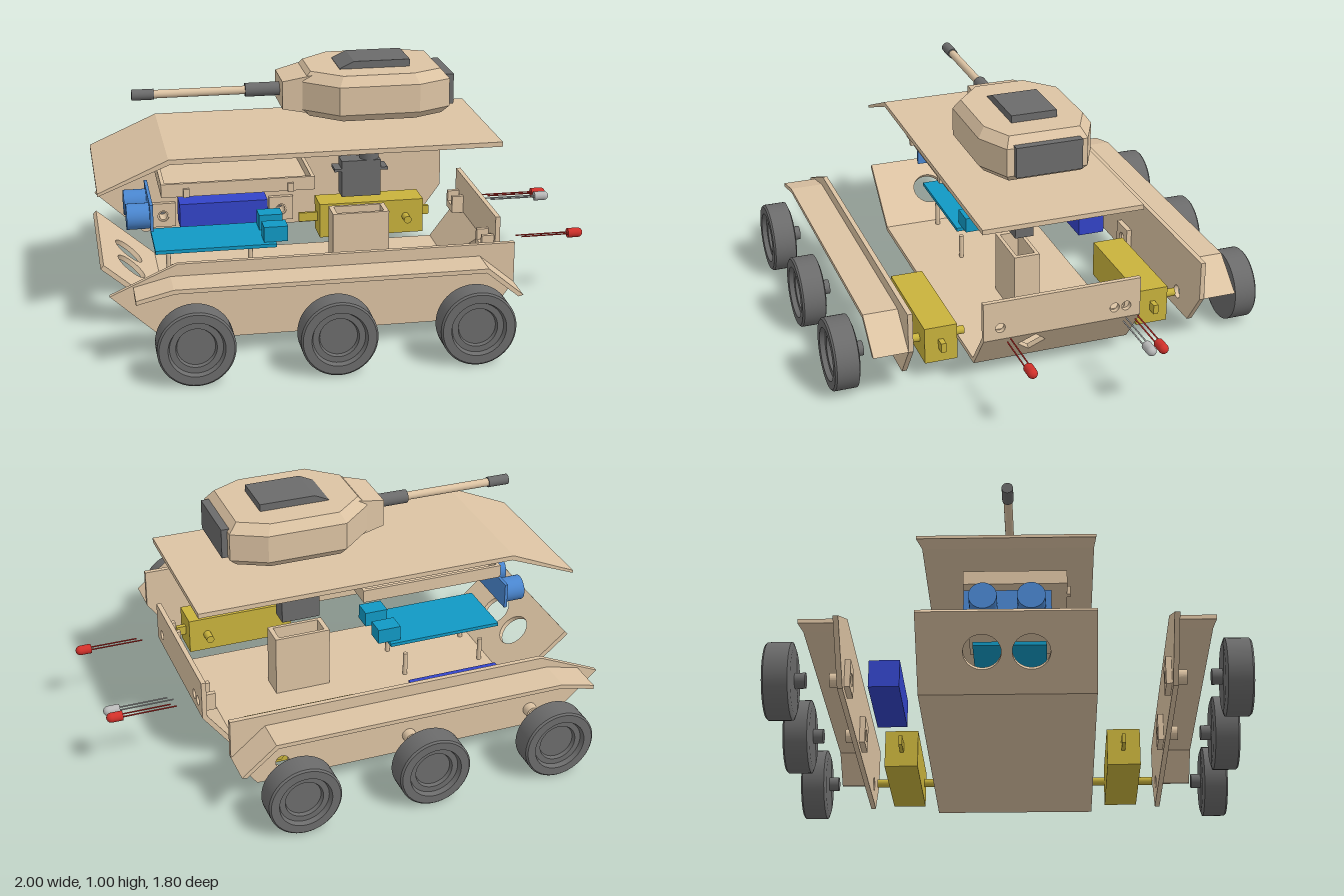
import * as THREE from 'three';
import { ConvexGeometry } from 'three/addons/geometries/ConvexGeometry.js';

const mat = (color) => new THREE.MeshStandardMaterial({ color });
const TAN = mat(0xdcc3a3), DARK = mat(0x6b6b6b), YELLOW = mat(0xc8b23c), BLUE = mat(0x3344c8);
const SENSOR = mat(0x4a86cf), CYAN = mat(0x1199c4), RED = mat(0xd0302a), SILVER = mat(0xb8b8b8);

export function createModel() {
  const root = new THREE.Group();
  root.name = 'explodedArmouredVehicle';

  const add = (name, geo, m) => {
    const mesh = new THREE.Mesh(geo, m);
    mesh.name = name;
    root.add(mesh);
    return mesh;
  };
  // Box given by its min and max on each axis
  const box = (name, m, x0, x1, y0, y1, z0, z1) =>
    add(name, new THREE.BoxGeometry(x1 - x0, y1 - y0, z1 - z0)
      .translate((x0 + x1) / 2, (y0 + y1) / 2, (z0 + z1) / 2), m);
  const rodX = (name, m, x0, x1, y, z, r, seg = 24) =>
    add(name, new THREE.CylinderGeometry(r, r, x1 - x0, seg).rotateZ(Math.PI / 2).translate((x0 + x1) / 2, y, z), m);
  const rodZ = (name, m, z0, z1, x, y, r, seg = 24) =>
    add(name, new THREE.CylinderGeometry(r, r, Math.abs(z1 - z0), seg).rotateX(Math.PI / 2).translate(x, y, (z0 + z1) / 2), m);
  const shapeOf = (pts) => new THREE.Shape(pts.map(([a, b]) => new THREE.Vector2(a, b)));
  const circle = (x, y, r) => new THREE.Path().absarc(x, y, r, 0, Math.PI * 2, true);
  const extrude = (shape, depth) =>
    new THREE.ExtrudeGeometry(shape, { depth, bevelEnabled: false, curveSegments: 16 });
  // Side profile in x/y, extruded from z0 to z1
  const profile = (name, m, pts, z0, z1, holes = []) => {
    const s = shapeOf(pts);
    s.holes.push(...holes);
    return add(name, extrude(s, z1 - z0).translate(0, 0, z0), m);
  };
  // Hull panel between two x/y points, full hull width; holes in (z, distance along panel)
  const panel = (name, a, b, holes = []) => {
    const len = Math.hypot(b[0] - a[0], b[1] - a[1]);
    const d = new THREE.Vector3((b[0] - a[0]) / len, (b[1] - a[1]) / len, 0);
    const s = shapeOf([[-0.33, 0], [0.33, 0], [0.33, len], [-0.33, len]]);
    s.holes.push(...holes);
    const frame = new THREE.Matrix4()
      .makeBasis(new THREE.Vector3(0, 0, 1), d, new THREE.Vector3(-d.y, d.x, 0))
      .setPosition(a[0], a[1], 0);
    add(name, extrude(s, 0.02).applyMatrix4(frame), TAN);
  };

  // Hull tub
  const lights = [[0.26, RED], [-0.22, SILVER], [-0.27, RED]];
  panel('hullFloor', [-0.75, 0.055], [0.5, 0.055]);
  panel('hullFrontPanel', [-1, 0.27], [-0.75, 0.055], [circle(0.09, 0.16, 0.07), circle(-0.09, 0.16, 0.07)]);
  panel('hullRearUpperPanel', [0.625, 0.22], [0.625, 0.385], lights.map(([z]) => circle(z, 0.05, 0.02)));
  const diamond = new THREE.Path([[0.055, 0.125], [0.11, 0.195], [0.17, 0.125], [0.11, 0.055]]
    .map(([a, b]) => new THREE.Vector2(a, b)));
  panel('hullRearLowerPanel', [0.5, 0.055], [0.625, 0.22], [diamond]);
  for (const z of [0.26, -0.24]) {
    box('lightHolder', TAN, 0.555, 0.605, 0.225, 0.255, z - 0.05, z + 0.05);
    for (const k of [-0.04, 0.04]) box('lightHolderCheek', TAN, 0.555, 0.605, 0.255, 0.3, z + k - 0.01, z + k + 0.01);
  }

  // Servo holder, open at the top
  box('servoHolderFront', TAN, -0.02, 0.22, 0.07, 0.34, 0.04, 0.055);
  box('servoHolderBack', TAN, -0.02, 0.22, 0.07, 0.34, -0.055, -0.04);
  box('servoHolderEnd', TAN, -0.02, 0.0, 0.07, 0.34, -0.04, 0.04);
  box('servoHolderEnd', TAN, 0.2, 0.22, 0.07, 0.34, -0.04, 0.04);

  // Servo
  box('servoBody', DARK, 0.02, 0.185, 0.41, 0.565, -0.04, 0.04);
  box('servoFlange', DARK, -0.01, 0.215, 0.52, 0.532, -0.04, 0.04);
  add('servoGearCap', new THREE.CylinderGeometry(0.04, 0.04, 0.032, 24).translate(0.142, 0.58, 0), DARK);
  add('servoShaft', new THREE.CylinderGeometry(0.012, 0.012, 0.03, 12).translate(0.142, 0.608, 0), DARK);

  // Control board on posts
  box('controlBoard', CYAN, -0.77, -0.27, 0.245, 0.26, -0.13, 0.145);
  box('boardSocket', CYAN, -0.32, -0.22, 0.26, 0.325, 0.04, 0.12);
  box('boardSocket', CYAN, -0.32, -0.22, 0.26, 0.325, -0.11, -0.03);
  for (const x of [-0.7, -0.35]) for (const z of [-0.1, 0.1])
    add('boardPost', new THREE.CylinderGeometry(0.01, 0.01, 0.11, 12).translate(x, 0.125, z), TAN);

  // Distance sensor
  box('sensorPlate', SENSOR, -0.788, -0.775, 0.355, 0.465, -0.165, 0.165);
  for (const z of [-0.09, 0.09]) rodX('sensorEye', SENSOR, -0.88, -0.788, 0.397, z, 0.053, 32);

  // Equipment tray
  box('trayBase', TAN, -0.745, -0.14, 0.515, 0.53, -0.17, 0.225);
  box('trayWall', TAN, -0.745, -0.14, 0.53, 0.57, 0.21, 0.225);
  box('trayWall', TAN, -0.745, -0.14, 0.53, 0.57, -0.17, -0.155);
  box('trayEnd', TAN, -0.745, -0.73, 0.53, 0.57, -0.155, 0.21);
  box('trayEnd', TAN, -0.14, -0.125, 0.515, 0.57, -0.17, 0.225);
  for (const x of [-0.645, -0.225]) box('trayTab', TAN, x - 0.012, x + 0.012, 0.515, 0.55, 0.225, 0.238);

  // Battery
  box('battery', BLUE, -0.62, -0.23, 0.15, 0.26, -0.53, -0.412);

  // Roof plate with sloped nose
  profile('roofPlate', TAN, [[-1, 0.57], [-0.715, 0.685], [0.625, 0.685], [0.625, 0.705], [-0.72, 0.705], [-1, 0.582]], -0.33, 0.33);

  // Running gear: both sides mirrored
  const axles = [-0.68, -0.145, 0.39];
  const wheelProfile = [[0, 0], [0.125, 0], [0.147, 0.008], [0.147, 0.008], [0.147, 0.098], [0.147, 0.098], [0.14, 0.105],
    [0.14, 0.105], [0.107, 0.105], [0.107, 0.105], [0.1, 0.085], [0.1, 0.085], [0.077, 0.085], [0.077, 0.085], [0.072, 0.07], [0.072, 0.07], [0, 0.07]]
    .map(([r, h]) => new THREE.Vector2(r, h));
  for (const s of [1, -1]) {
    const span = (a, b) => (s > 0 ? [a, b] : [-b, -a]);
    profile('sidePlate', TAN,
      [[-0.98, 0.27], [-0.77, 0.075], [0.495, 0.075], [0.6, 0.22], [0.6, 0.385], [-0.72, 0.385]],
      ...span(0.605, 0.625), axles.map((x) => circle(x, 0.15, 0.028)));
    profile('fender', TAN,
      [[-0.89, 0.285], [-0.745, 0.32], [0.452, 0.32], [0.58, 0.215], [0.6, 0.22], [0.46, 0.337], [-0.748, 0.337], [-0.89, 0.302]],
      ...span(0.625, 0.765));
    for (const x of axles) {
      const wheel = add('wheel', new THREE.LatheGeometry(wheelProfile, 48).rotateX(s * Math.PI / 2), DARK);
      wheel.position.set(x, 0.148, s * 0.795);
      rodZ('wheelAxle', DARK, s * 0.755, s * 0.8, x, 0.15, 0.03);
    }
    for (const x of axles.slice(0, 2)) {
      // Bracket inside the plate and bearing sleeve outside
      profile('axleBracket', TAN, [[x - 0.055, 0.1], [x + 0.055, 0.1], [x + 0.055, 0.21], [x - 0.055, 0.21]],
        ...span(0.583, 0.605), [circle(x, 0.15, 0.025)]);
      const ring = new THREE.Shape().absarc(x, 0.15, 0.028, 0, Math.PI * 2);
      ring.holes.push(circle(x, 0.15, 0.018));
      add('bearingSleeve', extrude(ring, 0.075).translate(0, 0, s > 0 ? 0.59 : -0.665), TAN);
    }
    // Gear motor
    box('motorBody', YELLOW, 0, 0.47, 0.075, 0.23, ...span(0.387, 0.522));
    box('motorTail', YELLOW, -0.085, 0, 0.135, 0.175, ...span(0.445, 0.46));
    box('motorTab', YELLOW, 0.47, 0.51, 0.135, 0.175, ...span(0.445, 0.466));
    rodZ('motorShaft', YELLOW, s * 0.335, s * 0.59, 0.39, 0.152, 0.017, 16);
  }

  // Rear lights with wire legs
  for (const [z, m] of lights) {
    rodX('lightBulb', m, 0.935, 0.98, 0.27, z, 0.02);
    add('lightDome', new THREE.SphereGeometry(0.02, 24, 8, 0, Math.PI * 2, 0, Math.PI / 2)
      .rotateZ(-Math.PI / 2).translate(0.98, 0.27, z), m);
    rodX('lightLeg', m, 0.715, 0.935, 0.27, z - 0.01, 0.003, 8);
    rodX('lightLeg', m, 0.735, 0.935, 0.27, z + 0.01, 0.003, 8);
  }

  // Turret: bevelled octagon, scaled in at top and bottom
  const outline = [[-0.15, 0.12], [-0.02, 0.24], [0.3, 0.24], [0.435, 0.17]];
  const ring = (y, k) => outline.flatMap(([x, z]) => [1, -1].map((s) =>
    new THREE.Vector3(0.143 + (x - 0.143) * (k + 0.04), y, s * z * k)));
  const turretPoints = [[0.79, 0.88], [0.82, 0.98], [0.935, 0.98], [0.975, 0.86]].flatMap(([y, k]) => ring(y, k));
  add('turretBody', new ConvexGeometry(turretPoints), TAN);
  const mantlet = [[-0.235, 0.82, 0.935, 0.1], [-0.1, 0.8, 0.965, 0.125]].flatMap(([x, y0, y1, z]) =>
    [y0, y1].flatMap((y) => [z, -z].map((w) => new THREE.Vector3(x, y, w))));
  add('mantlet', new ConvexGeometry(mantlet), TAN);
  box('turretRearBox', DARK, 0.4, 0.465, 0.82, 0.945, -0.137, 0.137);
  profile('turretHatch', DARK, [[0, 0.97], [0.29, 0.97], [0.29, 1.005], [0.06, 1.005], [0, 0.977]], -0.095, 0.095);

  // Gun
  rodX('gunSleeve', DARK, -0.375, -0.23, 0.882, 0, 0.028);
  rodX('gunBarrel', TAN, -0.76, -0.37, 0.882, 0, 0.017);
  rodX('gunMuzzle', DARK, -0.835, -0.745, 0.882, 0, 0.022);

  return root;
}
